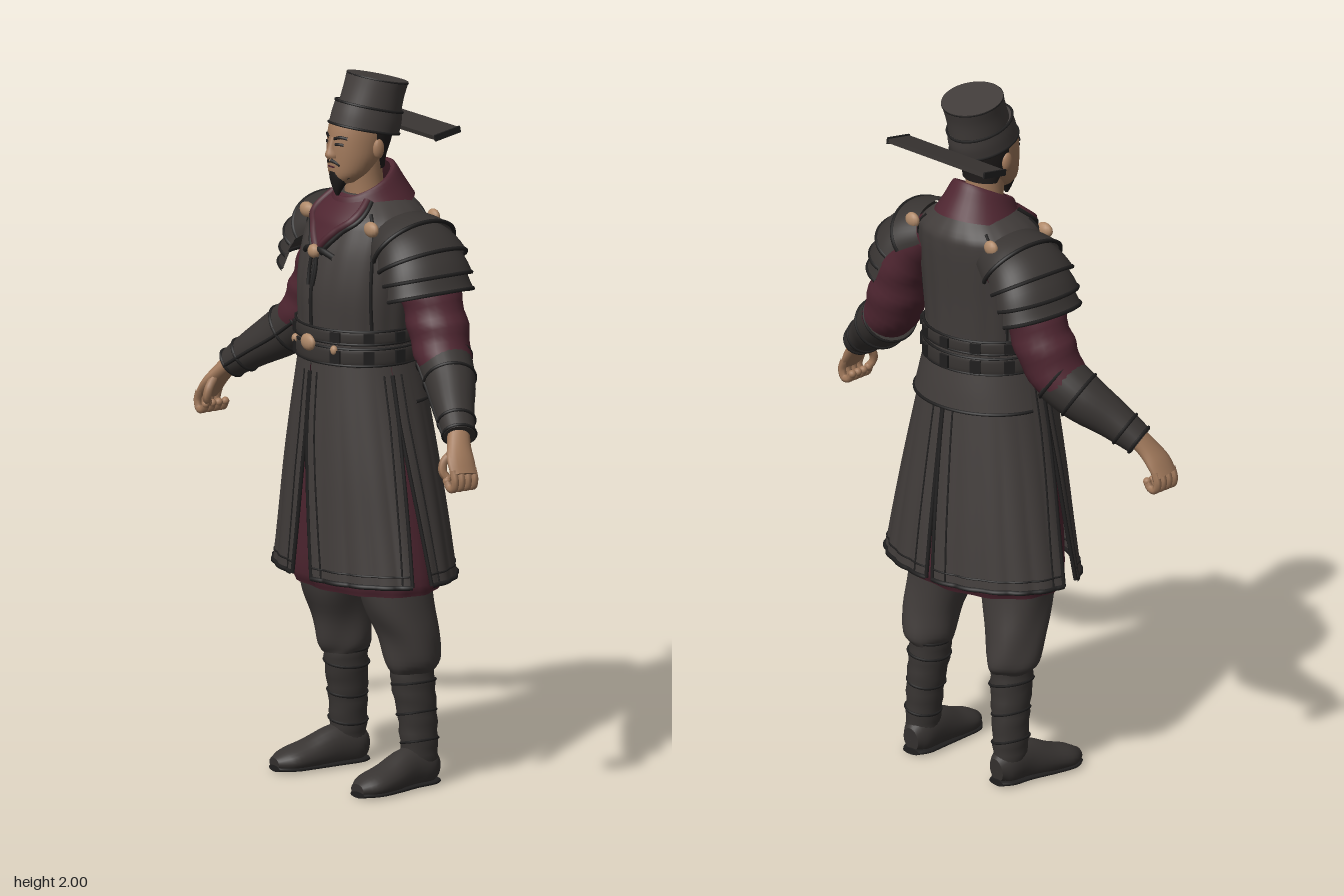
import * as THREE from 'three';

const mat = (name, color, side = THREE.FrontSide) => {
  const m = new THREE.MeshStandardMaterial({ color, side });
  m.name = name;
  return m;
};
const V = (x, y, z) => new THREE.Vector3(x, y, z);
const PI = Math.PI;

// Smooth loft through rings [x, y, z, radiusA, radiusB, tilt]; t = 0 faces +z on upright parts.
// flat keeps rings horizontal, arc(v) limits the sweep, swell(v, t) offsets the radius.
function surface(rings, { seg = 32, sub = 4, flat = true, arc, swell, ref = V(0, 0, 1), range = [0, 1], floor = -9 } = {}) {
  const pos = new THREE.CatmullRomCurve3(rings.map(r => V(r[0], r[1], r[2])), false, 'catmullrom');
  const rad = new THREE.CatmullRomCurve3(rings.map(r => V(r[3], r[4], r[5] || 0)), false, 'catmullrom');
  const point = (v, t, extra = 0) => {
    const r = rad.getPoint(v), T = flat ? V(0, 1, 0) : pos.getTangent(v);
    const b = ref.clone().addScaledVector(T, -ref.dot(T)).normalize(), a = T.clone().cross(b);
    const e = extra + (swell ? swell(v, t) : 0);
    const p = pos.getPoint(v).addScaledVector(a, Math.sin(t) * (r.x + e)).addScaledVector(b, Math.cos(t) * (r.y + e));
    p.y = Math.max(floor, p.y + r.z * Math.cos(t));
    return p;
  };
  const rows = (rings.length - 1) * sub, verts = [], index = [], cols = arc ? seg + 1 : seg;
  for (let i = 0; i <= rows; i++) {
    const v = range[0] + (range[1] - range[0]) * i / rows, [t0, t1] = arc ? arc(v) : [0, 2 * PI];
    for (let j = 0; j < cols; j++) verts.push(...point(v, t0 + (t1 - t0) * j / seg).toArray());
  }
  for (let i = 0; i < rows; i++) for (let j = 0; j < seg; j++) {
    const k = (j + 1) % cols, a = i * cols + j, b = i * cols + k;
    index.push(a, b, a + cols, b, b + cols, a + cols);
  }
  if (!arc) for (const end of [0, 1]) { // end caps
    const base = verts.length / 3, c = pos.getPoint(end);
    verts.push(c.x, Math.max(floor, c.y), c.z);
    for (let j = 0; j < seg; j++) verts.push(...point(end, 2 * PI * j / seg).toArray());
    for (let j = 0; j < seg; j++) {
      const p = base + 1 + j, q = base + 1 + (j + 1) % seg;
      index.push(base, end ? p : q, end ? q : p);
    }
  }
  const geo = new THREE.BufferGeometry();
  geo.setAttribute('position', new THREE.Float32BufferAttribute(verts, 3));
  geo.setIndex(index);
  geo.computeVertexNormals();
  return { geo, point };
}

const cord = (pts, r = 0.005) => new THREE.TubeGeometry(new THREE.CatmullRomCurve3(pts), pts.length * 4, r, 6);
const line = (n, f) => Array.from({ length: n + 1 }, (_, i) => f(i / n));
const mirror = g => {
  const m = g.clone().applyMatrix4(new THREE.Matrix4().makeScale(-1, 1, 1)), ix = m.index.array;
  for (let i = 0; i < ix.length; i += 3) [ix[i], ix[i + 1]] = [ix[i + 1], ix[i]];
  return m;
};

export function createModel() {
  const root = new THREE.Group();
  root.name = 'robedOfficer';
  const D = THREE.DoubleSide;
  const cloth = mat('charcoal cloth', 0x423d3b, D), leather = mat('dark leather', 0x383432, D), trim = mat('black trim', 0x201f1f);
  const maroon = mat('maroon cloth', 0x4f2631, D), skin = mat('skin', 0xa27a5c), metal = mat('dull bronze', 0xb08a6a), hair = mat('black hair', 0x1f1c1b, D);
  const add = (name, geo, m) => {
    const o = new THREE.Mesh(geo, m);
    o.name = name;
    root.add(o);
    return o;
  };
  const both = (name, geo, m) => { add(name + 'Left', geo, m); add(name + 'Right', mirror(geo), m); };
  const box = (w, h, d, x, y, z, ry = 0) => new THREE.BoxGeometry(w, h, d).rotateY(ry).translate(x, y, z);
  const ball = (rx, ry, rz, x, y, z) => new THREE.SphereGeometry(1, 14, 10).scale(rx, ry, rz).translate(x, y, z);

  // Vest
  const torso = surface([[0, 1.2, .02, .176, .163], [0, 1.28, .02, .177, .16], [0, 1.4, .018, .186, .164], [0, 1.5, .005, .188, .16],
    [0, 1.57, -.01, .183, .15], [0, 1.61, -.018, .165, .138], [0, 1.665, -.025, .09, .09]],
    { seg: 96, swell: (v, t) => .003 * Math.abs(Math.sin(9 * t)) * Math.min(1, 3 * (1 - v)) });
  add('vest', torso.geo, cloth);
  const open = v => .85 * (v - .53) / .47;
  add('chestInsert', surface([[0, 1.2, .02, .176, .163], [0, 1.28, .02, .177, .16], [0, 1.4, .018, .186, .164], [0, 1.5, .005, .188, .16],
    [0, 1.57, -.01, .183, .15], [0, 1.61, -.018, .165, .138], [0, 1.665, -.025, .09, .09]],
    { seg: 16, range: [.53, 1], arc: v => [-open(v), open(v)], swell: () => .006 }).geo, maroon);
  both('lapel', cord(line(8, s => torso.point(.53 + .44 * s, open(.53 + .44 * s), .004)), .011), maroon);
  both('necklineTrim', cord(line(8, s => torso.point(.52 + .44 * s, open(.53 + .44 * s) + .1, .003)), .007), trim);
  add('vestOpening', cord(line(6, s => torso.point(.1 + .42 * s, 0, .002)), .006), trim);
  both('vestSeam', cord(line(10, s => torso.point(.14 + .74 * s, 1.12 - .25 * s, .001)), .005), trim);
  both('backSeam', cord(line(10, s => torso.point(.14 + .74 * s, 2.1 + .2 * s, .001)), .004), trim);
  add('collar', surface([[0, 1.628, -.015, .122, .128, -.027], [0, 1.665, -.008, .1, .106, -.034], [0, 1.7, 0, .08, .086, -.042],
    [0, 1.695, 0, .066, .072, -.042]], { seg: 40, arc: () => [0, 2 * PI] }).geo, maroon);

  // Clasp and shoulder ornaments
  add('claspBar', cord([V(-.065, 1.505, .155), V(-.03, 1.52, .168), V(.03, 1.52, .168), V(.065, 1.505, .155)], .009), trim);
  add('clasp', ball(.022, .02, .016, 0, 1.515, .174), metal);
  both('claspTassel', cord([V(.012, 1.5, .174), V(.014, 1.46, .18), V(.01, 1.42, .187)], .005), trim);
  both('shoulderOrnament', ball(.028, .022, .016, .15, 1.592, .088).rotateX(0), metal);
  both('backOrnament', ball(.024, .022, .014, .15, 1.6, -.125), metal);

  // Belts
  for (const [y, h] of [[1.287, .02], [1.232, .026]]) {
    const b = surface([[0, y - h, .02, .179, .163], [0, y - h * .7, .02, .188, .172], [0, y + h * .7, .02, .188, .172], [0, y + h, .02, .179, .163]], { seg: 48 });
    add('belt', b.geo, leather);
    for (const v of [.2, .8]) add('beltEdge', cord(line(48, s => b.point(v, s * 2 * PI)), .004), trim);
    for (let i = 1; i < 12; i++) {
      const t = i * PI / 6, p = b.point(.5, t);
      add('beltPlate', box(.03, h * 1.4, .012, p.x, p.y, p.z, t), trim);
    }
  }
  add('buckle', ball(.03, .024, .014, 0, 1.26, .194), metal);
  both('beltStud', ball(.012, .014, .01, .09, 1.25, .172), metal);

  // Robe skirt: two front and two back panels over a maroon underskirt
  const skirtRings = [[0, .6, 0, .305, .213], [0, .75, .004, .275, .205], [0, .9, .01, .245, .195], [0, 1.05, .015, .212, .182], [0, 1.22, .02, .175, .163]];
  const gap = (v, top) => Math.max(0, 1 - v / top);
  const quilt = (v, t) => .005 * (1 - v) * Math.abs(Math.sin(11 * t));
  for (const [name, arc] of [['frontPanel', v => [.012 + .13 * gap(v, .7), 1.44 - .13 * gap(v, .75)]],
    ['backPanel', v => [1.45 + .13 * gap(v, .75), PI - .008 - .03 * gap(v, .7)]]]) {
    const p = surface(skirtRings, { seg: 56, arc, swell: quilt });
    both(name, p.geo, cloth);
    both(name + 'Hem', cord(line(24, s => { const [a, b] = arc(0); return p.point(0, a + (b - a) * s); }), .007), trim);
    both(name + 'HemStitch', cord(line(24, s => { const [a, b] = arc(.05); return p.point(.05, a + (b - a) * s); }), .003), trim);
    for (const k of [0, 1]) both(name + 'Edge', cord(line(10, s => p.point(s * .94, arc(s * .94)[k])), .006), trim);
    for (const k of [.1, .9]) both(name + 'Stitch', cord(line(10, s => { const [a, b] = arc(s * .94); return p.point(s * .94, a + (b - a) * k); }), .003), trim);
  }
  add('underskirt', surface([[0, .56, 0, .25, .168], [0, .62, 0, .255, .182], [0, .9, .01, .222, .178], [0, 1.15, .02, .165, .15]],
    { seg: 56, arc: () => [0, 2 * PI], swell: (v, t) => .004 * (1 - v) * Math.sin(12 * t) }).geo, maroon);
  const peplum = surface([[0, 1.1, .012, .212, .182], [0, 1.16, .016, .198, .177], [0, 1.24, .02, .18, .165]], { seg: 32, arc: () => [1.75, 2 * PI - 1.75] });
  add('backPeplum', peplum.geo, cloth);
  add('peplumHem', cord(line(24, s => peplum.point(0, 1.75 + s * (2 * PI - 3.5))), .005), trim);

  // Sleeves and bracers
  both('sleeve', surface([[.14, 1.54, -.035, .07, .095], [.22, 1.45, -.045, .075, .09], [.258, 1.37, -.047, .08, .085], [.29, 1.3, -.043, .083, .084], [.335, 1.225, -.03, .07, .076]],
    { flat: false, seg: 24, swell: (v, t) => .003 * Math.sin(22 * v + 2 * Math.sin(t)) }).geo, maroon);
  const bracer = surface([[.315, 1.245, -.038, .074, .078], [.385, 1.19, -.01, .07, .071], [.46, 1.135, .032, .055, .057], [.535, 1.078, .068, .04, .046]], { flat: false, seg: 24 });
  both('bracer', bracer.geo, leather);
  for (const v of [.03, .3, .82, .98]) both('bracerBand', cord(line(24, s => bracer.point(v, s * 2 * PI)), .005), trim);
  both('bracerLacing', cord(line(8, s => bracer.point(.03 + .95 * s, 0.3)), .005), trim);

  // Layered shoulder guards
  const guard = surface([[.12, 1.555, -.03, .078, .11], [.19, 1.52, -.035, .084, .122], [.225, 1.47, -.037, .082, .124], [.245, 1.405, -.037, .08, .12]], { flat: false });
  for (let k = 0; k < 4; k++) {
    const lo = k / 4, hi = Math.min(1, (k + 1) / 4 + .03), reach = 1.75 - .06 * k;
    const flare = v => .002 + .017 * (v - lo) / (hi - lo);
    const plate = [[.12, 1.555, -.03, .078, .11], [.19, 1.52, -.035, .084, .122], [.225, 1.47, -.037, .082, .124], [.245, 1.405, -.037, .08, .12]];
    both('shoulderPlate', surface(plate, { flat: false, seg: 28, sub: 2, range: [lo, hi], arc: () => [-PI / 2 - reach, -PI / 2 + reach], swell: flare }).geo, leather);
    both('shoulderPlateRim', cord(line(20, s => guard.point(hi, -PI / 2 + reach * (2 * s - 1), .017)), .006), trim);
  }

  // Hands: palm, curled fingers and thumb
  both('palm', surface([[.525, 1.09, .064, .026, .032], [.552, 1.055, .082, .022, .036], [.578, 1.02, .095, .019, .043], [.6, .985, .1, .015, .042]], { flat: false, seg: 18 }).geo, skin);
  for (let i = 0; i < 4; i++) {
    const z = .066 + i * .022;
    both('finger', cord([V(.592, 1, z), V(.602, .97, z), V(.594, .948, z), V(.575, .949, z), V(.563, .965, z)], .0115), skin);
    both('fingertip', ball(.0115, .0115, .0115, .563, .966, z), skin);
  }
  both('thumb', cord([V(.556, 1.045, .105), V(.548, 1.015, .132), V(.551, .99, .137), V(.56, .972, .128)], .012), skin);
  both('thumbTip', ball(.012, .012, .012, .56, .972, .128), skin);

  // Trousers and boots
  both('trouserLeg', surface([[.155, .325, -.046, .052, .066], [.16, .355, -.046, .073, .08], [.157, .43, -.034, .08, .086], [.142, .52, -.01, .088, .104], [.125, .64, 0, .098, .115], [.11, .78, 0, .1, .115]],
    { seg: 28, swell: (v, t) => .003 * Math.sin(4 * t + 9 * v) }).geo, cloth);
  const boot = surface([[.166, .04, -.068, .04, .05], [.166, .11, -.064, .044, .055], [.162, .2, -.06, .048, .058], [.156, .29, -.05, .054, .064], [.154, .36, -.047, .052, .064]],
    { seg: 24, swell: (v, t) => .002 * Math.sin(40 * v + t) });
  both('bootShaft', boot.geo, leather);
  for (const v of [.3, .52, .76, .92]) both('bootStrap', cord(line(20, s => boot.point(v + .03 * Math.sin(2 * PI * s), s * 2 * PI)), .004), trim);
  const footRings = [[.163, .045, -.118, .026, .035], [.165, .05, -.085, .044, .058], [.17, .052, -.02, .046, .062], [.182, .036, .06, .054, .046], [.19, .027, .125, .055, .034], [.194, .022, .168, .026, .018]];
  both('boot', surface(footRings, { flat: false, seg: 24, ref: V(0, 1, 0), floor: .012 }).geo, leather);
  both('sole', surface(footRings.map(r => [r[0], .009, r[2], r[3] + .003, .009]), { flat: false, seg: 16, ref: V(0, 1, 0), floor: 0 }).geo, trim);

  // Head
  add('neck', surface([[0, 1.62, -.005, .06, .062], [0, 1.7, .005, .052, .055], [0, 1.78, .01, .055, .058]], { seg: 24 }).geo, skin);
  const head = surface([[0, 1.698, .07, .026, .036], [0, 1.725, .055, .054, .058], [0, 1.765, .038, .069, .077], [0, 1.81, .025, .075, .09], [0, 1.85, .014, .077, .096], [0, 1.89, .005, .075, .092]], { seg: 32 });
  add('head', head.geo, skin);
  add('hair', surface([[0, 1.735, .0, .062, .05], [0, 1.77, .008, .072, .062], [0, 1.81, .012, .08, .083], [0, 1.87, .004, .083, .093]],
    { seg: 28, arc: v => [1.75 - .35 * v, 2 * PI - 1.75 + .35 * v] }).geo, hair);
  add('nose', surface([[0, 1.772, .108, .018, .022], [0, 1.782, .108, .018, .026], [0, 1.8, .108, .011, .018], [0, 1.83, .106, .008, .008]], { seg: 14 }).geo, skin);
  both('ear', ball(.011, .028, .018, .08, 1.797, .012), skin);
  both('eye', cord([.2, .38, .56].map((t, i) => head.point(.605 + .006 * (i === 1), t, -.001)), .0045), hair);
  both('eyebrow', cord([.14, .4, .66].map((t, i) => head.point(.68 + [0, .03, .015][i], t)), .0045), hair);
  both('moustache', cord([V(0, 1.764, .116), V(.02, 1.757, .108), V(.034, 1.735, .09), V(.036, 1.715, .082)], .006), hair);
  add('beard', surface([[0, 1.662, .094, .004, .005], [0, 1.685, .092, .017, .016], [0, 1.712, .086, .03, .028], [0, 1.732, .09, .024, .026]], { seg: 18 }).geo, hair);
  add('mouth', box(.026, .004, .008, 0, 1.746, .113), maroon);

  // Hat
  const band = surface([[0, 1.84, .004, .086, .102, .025], [0, 1.872, -.006, .086, .101, .026], [0, 1.902, -.014, .084, .096, .026]], { seg: 40 });
  add('hatBand', band.geo, cloth);
  for (const v of [.02, .98]) add('hatBandRim', cord(line(40, s => band.point(v, s * 2 * PI)), .004), trim);
  const crown = surface([[0, 1.89, -.015, .081, .088, .025], [0, 1.94, -.03, .083, .084, .022], [0, 1.98, -.044, .088, .084, .02]], { seg: 40 });
  add('hatCrown', crown.geo, cloth);
  add('hatCrownRim', cord(line(40, s => crown.point(.96, s * 2 * PI, -.002)), .003), trim);
  add('hatWing', new THREE.BoxGeometry(.37, .012, .085).rotateX(.17).translate(0, 1.838, -.147), leather);
  both('hatWingEnd', new THREE.BoxGeometry(.006, .018, .087).rotateX(.17).translate(.184, 1.838, -.147), trim);
  return root;
}
